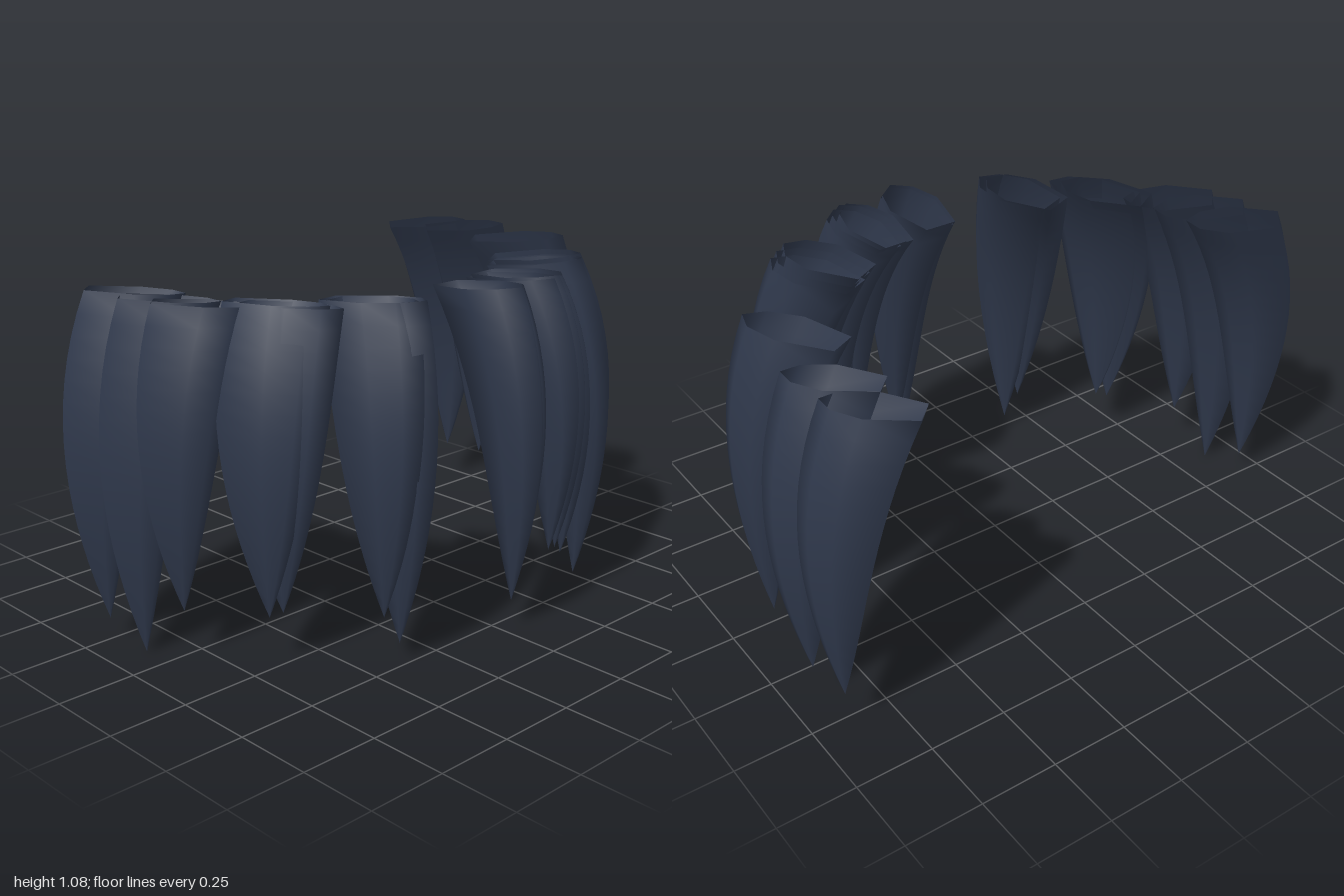
import * as THREE from 'three';

// Lock cross-section: [lengthwise, sideways]; flat at one end, ridged at the other
const SECTION = [[-1, -0.6], [-1, 0.6], [0.05, 1], [0.7, 0.65], [1, 0], [0.7, -0.65], [0.05, -1]];
const ROWS = 16;

// One hollow curved lock: open root at the top, bending outward and tapering to a point
function lockGeometry([rx, ry, rz], [tx, ty, tz], angle, depth, width) {
  const n = SECTION.length;
  const ox = Math.sin(angle), oz = Math.cos(angle);
  const reach = Math.hypot(tx - rx, tz - rz);
  const bx = (tx - rx) / reach, bz = (tz - rz) / reach;
  const pos = [], index = [];
  for (let r = 0; r <= ROWS; r++) {
    const t = r / ROWS;
    const bend = 1 - Math.pow(1 - t, 3.4) + 0.4 * t * (1 - t);
    const size = Math.max(1 - Math.pow(t, 2.2), 0.001);
    const cx = rx + (tx - rx) * bend, cz = rz + (tz - rz) * bend;
    const cy = ry + (ty - ry) * t;
    for (const [u, v] of SECTION) {
      const a = u * depth * size, b = v * width * size;
      const dx = ox * a + oz * b, dz = oz * a - ox * b;
      // thin the lock along its bend and tilt the root
      const along = dx * bx + dz * bz;
      const thin = 0.2 * bend * along;
      pos.push(cx + dx - bx * thin, cy + 0.1 * along * (1 - t), cz + dz - bz * thin);
    }
  }
  for (let r = 0; r < ROWS; r++) {
    for (let i = 0; i < n; i++) {
      const a = r * n + i, b = r * n + (i + 1) % n;
      index.push(a, b, a + n, b, b + n, a + n);
    }
  }
  const geo = new THREE.BufferGeometry();
  geo.setAttribute('position', new THREE.Float32BufferAttribute(pos, 3));
  geo.setIndex(index);
  geo.computeVertexNormals();
  return geo;
}

// Clumps of locks: section angle, half length and half width, then root / tip pairs
const CLUMPS = [
  { name: 'leftBackClump', angle: 0.82, depth: 0.14, width: 0.078, locks: [
    [[0.765, 1.055, -0.535], [0.91, 0.145, -0.55]],
    [[0.785, 1.06, -0.365], [0.93, 0.145, -0.4]]] },
  { name: 'leftSideClump', angle: 0.55, depth: 0.16, width: 0.083, locks: [
    [[0.745, 1.06, -0.075], [0.87, 0.085, -0.04]]] },
  { name: 'leftFrontClump', angle: 0.5, depth: 0.148, width: 0.09, locks: [
    [[0.452, 1.06, 0.255], [0.515, 0, 0.41]],
    [[0.49, 1.055, 0.23], [0.57, 0.07, 0.37]],
    [[0.53, 1.06, 0.19], [0.645, 0, 0.305]]] },
  { name: 'frontLeftClump', angle: 0.06, depth: 0.15, width: 0.085, locks: [
    [[0.21, 1.06, 0.375], [0.23, 0.2, 0.53]],
    [[0.238, 1.065, 0.37], [0.26, 0.2, 0.53]],
    [[0.265, 1.06, 0.36], [0.315, 0.16, 0.51]]] },
  { name: 'frontMiddleClump', angle: 0, depth: 0.152, width: 0.09, locks: [
    [[0.03, 1.065, 0.405], [0.02, 0.1, 0.56]],
    [[0.04, 1.06, 0.4], [0.05, 0.15, 0.545]]] },
  { name: 'frontRightClump', angle: 0.33, depth: 0.147, width: 0.086, locks: [
    [[-0.328, 1.06, 0.305], [-0.425, 0.15, 0.455]],
    [[-0.308, 1.06, 0.32], [-0.38, 0.06, 0.475]]] },
  { name: 'rightFrontClump', angle: 0.48, depth: 0.155, width: 0.078, locks: [
    [[-0.545, 1.06, 0.15], [-0.68, 0.16, 0.24]],
    [[-0.525, 1.055, 0.185], [-0.645, 0.17, 0.26]]] },
  { name: 'rightSideClump', angle: 0.85, depth: 0.145, width: 0.085, locks: [
    [[-0.74, 1.06, -0.265], [-0.91, 0.075, -0.24]],
    [[-0.72, 1.055, -0.125], [-0.88, 0, -0.1]],
    [[-0.69, 1.055, -0.01], [-0.83, 0.16, 0.03]]] },
];

export function createModel() {
  const hair = new THREE.MeshStandardMaterial({ color: 0x2e374a, side: THREE.DoubleSide });
  hair.name = 'darkBlueHair';
  const model = new THREE.Group();
  model.name = 'hairLocks';
  for (const { name, angle, depth, width, locks } of CLUMPS) {
    const clump = new THREE.Group();
    clump.name = name;
    locks.forEach(([root, tip], i) => {
      const mesh = new THREE.Mesh(lockGeometry(root, tip, angle, depth, width), hair);
      mesh.name = `lock${i + 1}`;
      clump.add(mesh);
    });
    model.add(clump);
  }
  return model;
}
